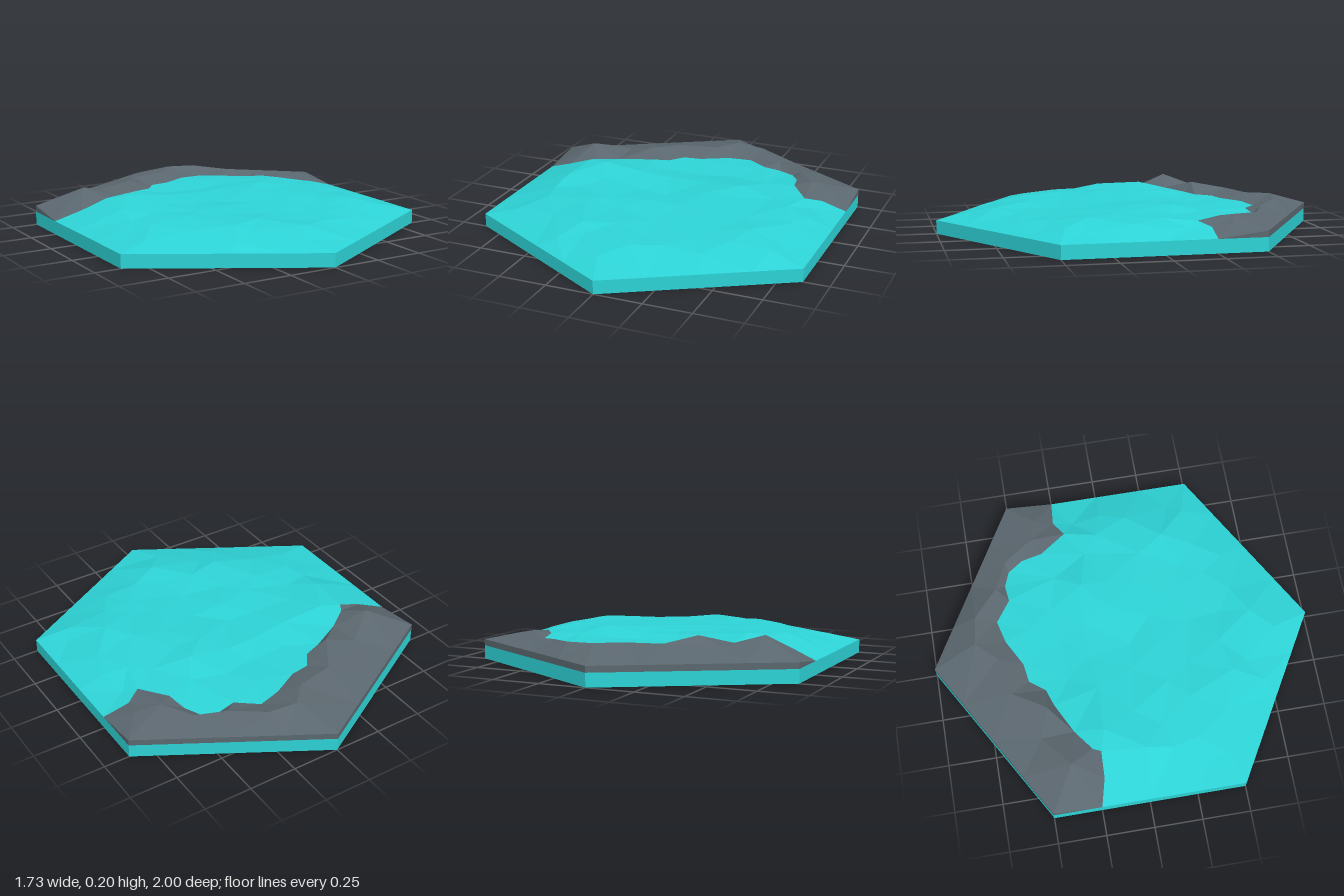
import * as THREE from 'three';

const APOTHEM = Math.sqrt(3) / 2, BASE = 0.07;
const clamp = THREE.MathUtils.clamp;

// shoreline between water and rock, as [x, z] from one side to the other
const shore = [[-APOTHEM, -0.25], [-0.73, -0.215], [-0.6, -0.21], [-0.58, -0.25], [-0.47, -0.33], [-0.31, -0.41],
  [-0.22, -0.44], [-0.16, -0.52], [-0.06, -0.535], [0.08, -0.61], [0.2, -0.64], [0.31, -0.56], [0.4, -0.57],
  [0.48, -0.54], [0.53, -0.46], [0.55, -0.35], [0.65, -0.21], [0.73, -0.26], [APOTHEM, -0.25]];
// crest of the rocks, as [x, y, z]
const crest = [[-0.65, 0.2, -0.37], [-0.48, 0.15, -0.5], [-0.33, 0.19, -0.45], [-0.22, 0.165, -0.62],
  [-0.02, 0.165, -0.66], [0.08, 0.17, -0.77], [0.23, 0.165, -0.75], [0.38, 0.15, -0.62],
  [0.53, 0.14, -0.55], [0.63, 0.15, -0.4], [0.75, 0.125, -0.36]];
// water swells, as [x, z, extra height]
const swells = [[-0.58, -0.1, 0.045], [0.22, -0.12, 0.04], [-0.3, 0.3, 0.022], [0.5, 0.15, 0.01], [-0.35, -0.2, 0.02]];

function seeded(seed) {
  return () => (seed = (seed * 16807) % 2147483647) / 2147483647;
}

// distance inward from the hexagon's rim
function rimDistance(x, z) {
  let d = Infinity;
  for (let i = 0; i < 6; i++) {
    const a = (i * Math.PI) / 3;
    d = Math.min(d, APOTHEM - x * Math.cos(a) - z * Math.sin(a));
  }
  return d;
}

function waterHeight(x, z) {
  let y = BASE + 0.062 * clamp(rimDistance(x, z) / 0.24, 0, 1);
  for (const [sx, sz, h] of swells) y += h * Math.exp(-((x - sx) ** 2 + (z - sz) ** 2) / 0.03);
  return y;
}

function shoreZ(x) {
  const i = clamp(shore.findIndex((p) => p[0] >= x), 1, shore.length - 1);
  const [a, b] = [shore[i - 1], shore[i]];
  return a[1] + ((b[1] - a[1]) * (x - a[0])) / (b[0] - a[0]);
}

// rim points, counted round from the front corner
function makeRim(perSide) {
  const rim = [];
  const corner = (i) => new THREE.Vector3(Math.sin((i * Math.PI) / 3), 0, Math.cos((i * Math.PI) / 3));
  for (let i = 0; i < 6; i++) {
    for (let j = 0; j < perSide; j++) {
      const p = corner(i).lerp(corner(i + 1), j / perSide);
      p.y = BASE + 0.032 * clamp((-p.z - 0.25) / 0.25, 0, 1);
      rim.push(p);
    }
  }
  return rim;
}

// incremental Delaunay triangulation in the x-z plane
function triangulate(points) {
  const n = points.length;
  const pts = [...points, new THREE.Vector3(-900, 0, -800), new THREE.Vector3(900, 0, -800), new THREE.Vector3(0, 0, 1000)];
  const cell = (a, b, c) => {
    const [A, B, C] = [pts[a], pts[b], pts[c]];
    const bx = B.x - A.x, bz = B.z - A.z, cx = C.x - A.x, cz = C.z - A.z;
    const d = 2 * (bx * cz - bz * cx);
    const ux = (cz * (bx * bx + bz * bz) - bz * (cx * cx + cz * cz)) / d;
    const uz = (bx * (cx * cx + cz * cz) - cx * (bx * bx + bz * bz)) / d;
    return { v: [a, b, c], x: A.x + ux, z: A.z + uz, r: ux * ux + uz * uz, area: d / 4 };
  };
  let cells = [cell(n, n + 1, n + 2)];
  for (let i = 0; i < n; i++) {
    const edges = new Map(), keep = [];
    for (const t of cells) {
      if ((pts[i].x - t.x) ** 2 + (pts[i].z - t.z) ** 2 >= t.r) { keep.push(t); continue; }
      t.v.forEach((a, k) => {
        const b = t.v[(k + 1) % 3];
        if (!edges.delete(`${b},${a}`)) edges.set(`${a},${b}`, [a, b]);
      });
    }
    for (const [a, b] of edges.values()) keep.push(cell(a, b, i));
    cells = keep;
  }
  return cells
    .filter((t) => Math.max(...t.v) < n && Math.abs(t.area) > 1e-5)
    .map((t) => (t.area > 0 ? [t.v[0], t.v[2], t.v[1]] : t.v).map((k) => pts[k]));
}

function facetMesh(name, triangles, material) {
  const geometry = new THREE.BufferGeometry().setFromPoints(triangles.flat());
  geometry.computeVertexNormals();
  const mesh = new THREE.Mesh(geometry, material);
  mesh.name = name;
  return mesh;
}

export function createModel() {
  const group = new THREE.Group();
  group.name = 'hexTile';
  const material = (color) => new THREE.MeshStandardMaterial({ color, flatShading: true, side: THREE.DoubleSide });
  const teal = material(0x2dd3d6), grey = material(0x5b676f);

  // flat hexagonal base
  const base = new THREE.Mesh(new THREE.CylinderGeometry(1, 1, BASE, 6), teal);
  base.position.y = BASE / 2;
  base.name = 'base';
  group.add(base);

  // rim, shoreline and crest points
  const rim = makeRim(4);
  const points = [...rim];
  for (const [x, z] of shore.slice(1, -1)) points.push(new THREE.Vector3(x, waterHeight(x, z), z));
  for (const p of crest) points.push(new THREE.Vector3(...p));

  // jittered lattice of water points
  const random = seeded(77), step = 0.19;
  for (let row = -3; row <= 5; row++) {
    for (let col = -5; col <= 5; col++) {
      const x = (col + (row & 1) / 2) * step + (random() - 0.5) * 0.1;
      const z = row * step * 0.87 + (random() - 0.5) * 0.1;
      const lift = (random() - 0.5) * 0.022;
      if (rimDistance(x, z) < 0.07 || z < shoreZ(x) + 0.08) continue;
      points.push(new THREE.Vector3(x, waterHeight(x, z) + lift, z));
    }
  }

  // split the faceted surface along the shoreline
  const water = [], rock = [];
  for (const t of triangulate(points)) {
    const x = (t[0].x + t[1].x + t[2].x) / 3, z = (t[0].z + t[1].z + t[2].z) / 3;
    (z < shoreZ(x) ? rock : water).push(t);
  }

  // upright rock edge along the back rim
  rim.forEach((a, i) => {
    const b = rim[(i + 1) % rim.length];
    if (Math.max(a.y, b.y) < BASE + 0.001) return;
    const a0 = a.clone().setY(BASE), b0 = b.clone().setY(BASE);
    rock.push([a0, b0, b], [a0, b, a]);
  });

  group.add(facetMesh('water', water, teal), facetMesh('rocks', rock, grey));
  return group;
}
